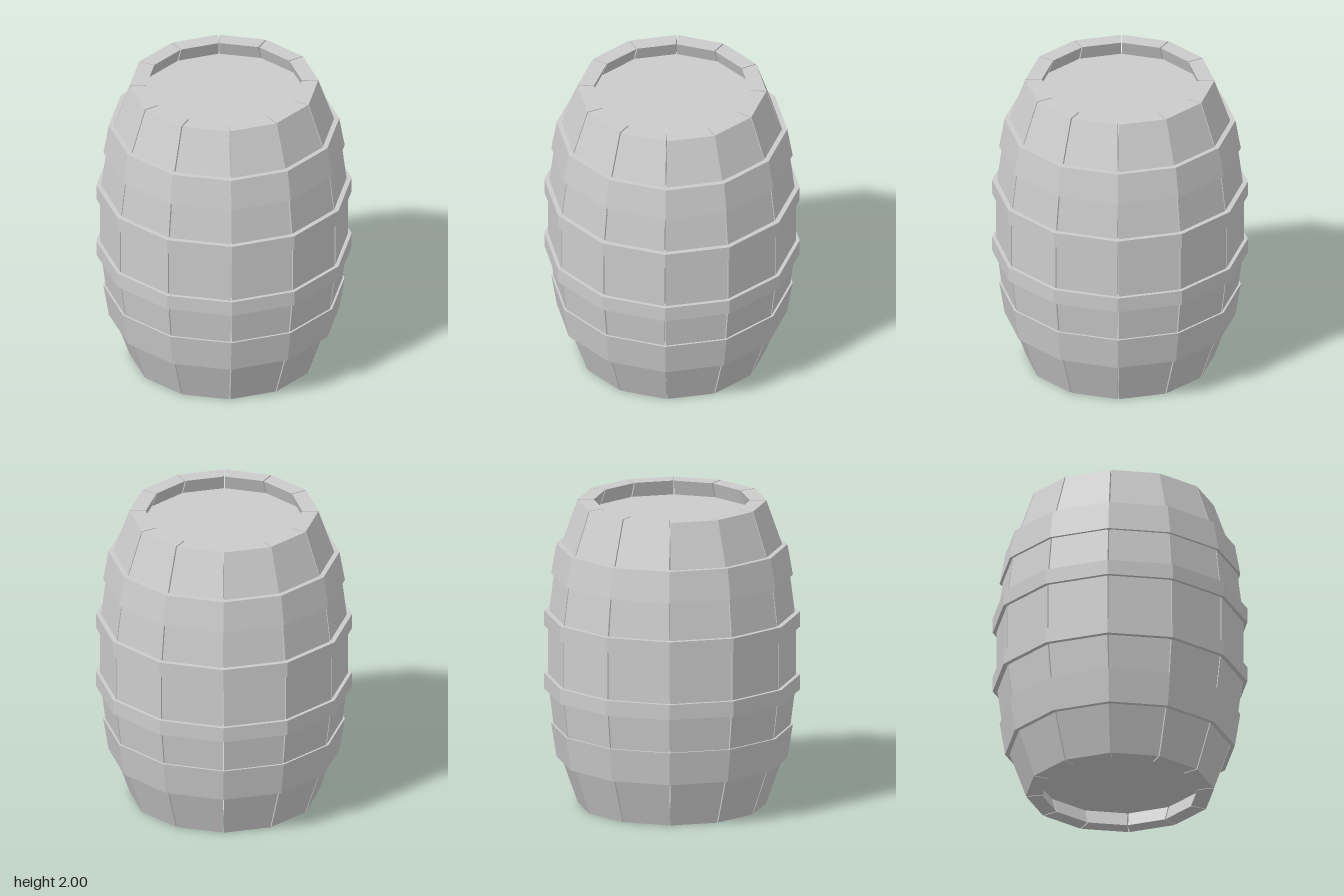
import * as THREE from 'three';

const SIDES = 12;
const STEP = (Math.PI * 2) / SIDES;
const GAP = 0.004; // half of the slit between two staves
const WALL = 0.105;
// [height, outer radius] of the bulging barrel wall
const PROFILE = [[0, 0.605], [0.4, 0.745], [0.8, 0.795], [1.2, 0.795], [1.6, 0.745], [2, 0.605]];

const material = new THREE.MeshStandardMaterial({ color: 0xcccccc, flatShading: true });

function facetedMesh(geometry, name) {
  const flat = geometry.index ? geometry.toNonIndexed() : geometry;
  flat.computeVertexNormals();
  const mesh = new THREE.Mesh(flat, material);
  mesh.name = name;
  return mesh;
}

// One bent plank: a four-cornered section swept up the profile
function staveGeometry() {
  const corner = (r, angle, y, shift) => [
    r * Math.sin(angle) + shift * Math.cos(angle), y,
    r * Math.cos(angle) - shift * Math.sin(angle),
  ];
  const positions = [];
  for (const [y, r] of PROFILE) {
    positions.push(
      ...corner(r, 0, y, GAP), ...corner(r, STEP, y, -GAP),
      ...corner(r - WALL, STEP, y, -GAP), ...corner(r - WALL, 0, y, GAP));
  }
  const index = [0, 2, 1, 0, 3, 2];
  for (let level = 0; level < PROFILE.length - 1; level++) {
    for (let k = 0; k < 4; k++) {
      const a = level * 4 + k, b = level * 4 + (k + 1) % 4;
      index.push(a, b, b + 4, a, b + 4, a + 4);
    }
  }
  const top = (PROFILE.length - 1) * 4;
  index.push(top, top + 1, top + 2, top, top + 2, top + 3);
  const geometry = new THREE.BufferGeometry();
  geometry.setAttribute('position', new THREE.Float32BufferAttribute(positions, 3));
  geometry.setIndex(index);
  return geometry;
}

// Closed twelve-sided ring with sloping outer face
function hoopGeometry(y0, r0, y1, r1) {
  const t = 0.055;
  const points = [[r0 - t, y0], [r0, y0], [r1, y1], [r1 - t, y1], [r0 - t, y0]];
  return new THREE.LatheGeometry(points.map(([r, y]) => new THREE.Vector2(r, y)), SIDES);
}

export function createModel() {
  const barrel = new THREE.Group();
  barrel.name = 'barrel';

  // Staves around the wall
  const staves = new THREE.Group();
  staves.name = 'staves';
  const plank = staveGeometry();
  for (let i = 0; i < SIDES; i++) {
    const stave = facetedMesh(plank, 'stave');
    stave.rotation.y = i * STEP;
    staves.add(stave);
  }
  barrel.add(staves);

  // Hoops
  barrel.add(
    facetedMesh(hoopGeometry(0.3, 0.74, 0.52, 0.775), 'bottomHoop'),
    facetedMesh(hoopGeometry(0.75, 0.82, 0.85, 0.82), 'lowerMiddleHoop'),
    facetedMesh(hoopGeometry(1.165, 0.82, 1.265, 0.82), 'upperMiddleHoop'),
    facetedMesh(hoopGeometry(1.51, 0.775, 1.71, 0.74), 'topHoop'));

  // Recessed heads at both ends
  for (const [name, y] of [['lid', 1.88], ['base', 0.12]]) {
    const head = facetedMesh(new THREE.CylinderGeometry(0.56, 0.56, 0.04, SIDES), name);
    head.position.y = y;
    barrel.add(head);
  }
  return barrel;
}
